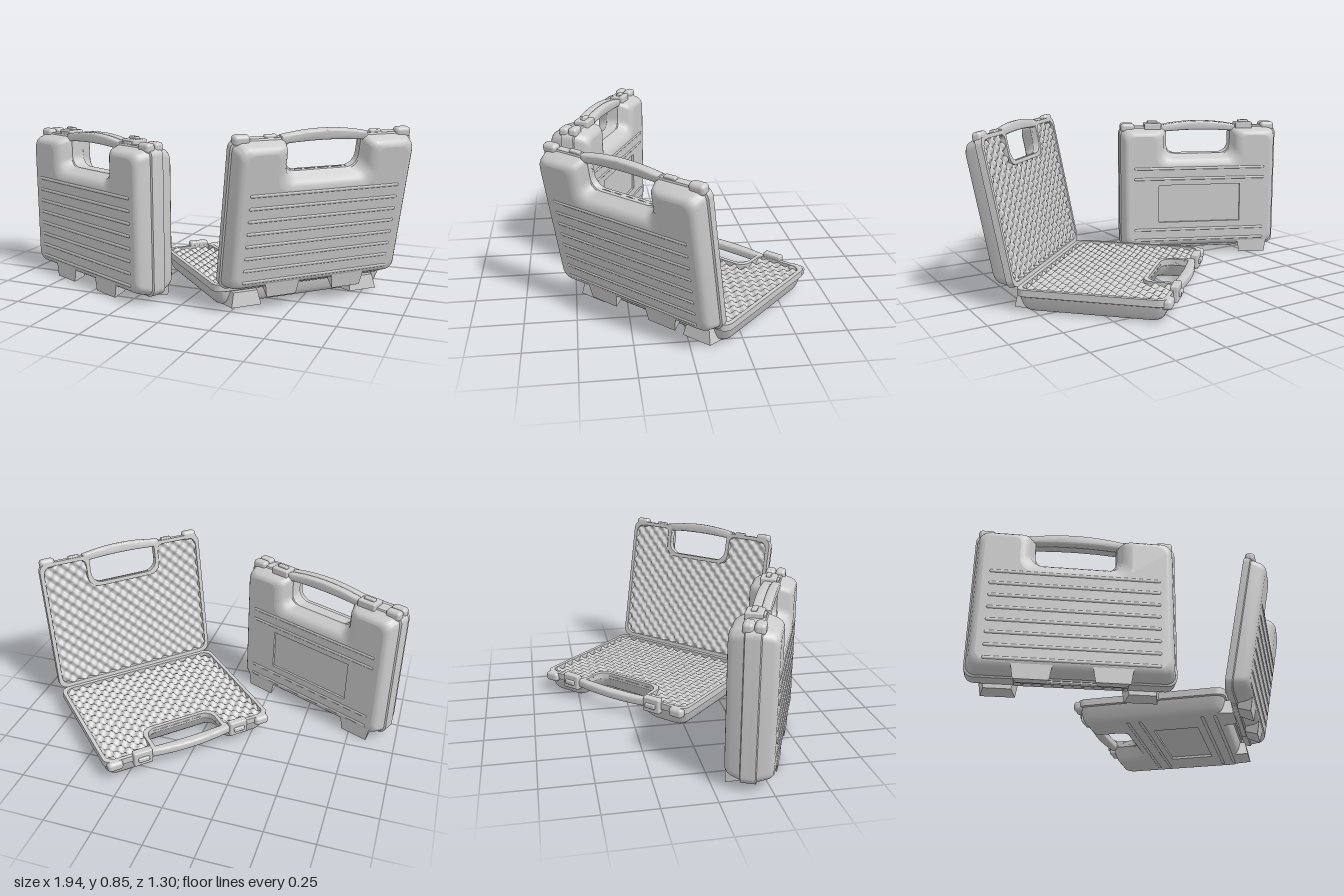
import * as THREE from 'three';
import { toCreasedNormals } from 'three/addons/utils/BufferGeometryUtils.js';
import { RoundedBoxGeometry } from 'three/addons/geometries/RoundedBoxGeometry.js';

const grey = new THREE.MeshStandardMaterial({ color: 0xcccccc, side: THREE.DoubleSide });
const W = 0.465, H = 0.72, DEPTH = 0.11;

function add(parent, name, geometry, x = 0, y = 0, z = 0) {
  const mesh = new THREE.Mesh(geometry, grey);
  mesh.name = name;
  mesh.position.set(x, y, z);
  parent.add(mesh);
  return mesh;
}

// Rounded case outline with a handle notch; inset and notch widen separately
function outline(inset, notch) {
  const R = 0.045, r = 0.03, q = 0.06, P = Math.PI / 2;
  const x = W - inset - R, lo = inset + R, hi = H - inset;
  const nx = 0.19 + notch, ny = 0.56 - notch;
  const arcs = [
    [x, lo, R, -P, 0], [x, hi - R, R, 0, P],
    [nx + r, hi - r, r, P, 2 * P], [nx - q, ny + q, q, 0, -P],
    [q - nx, ny + q, q, -P, -2 * P], [-nx - r, hi - r, r, 0, P],
    [-x, hi - R, R, P, 2 * P], [-x, lo, R, 2 * P, 3 * P],
  ];
  const pts = [];
  for (const [cx, cy, rad, a, b] of arcs)
    for (let k = 0; k <= 8; k++) {
      const t = a + (b - a) * k / 8;
      pts.push(new THREE.Vector2(cx + rad * Math.cos(t), cy + rad * Math.sin(t)));
    }
  return pts;
}

// Skin through closed loops given as { pts, z }
function loft(rings) {
  const pos = [], idx = [], n = rings[0].pts.length;
  for (const { pts, z } of rings) for (const p of pts) pos.push(p.x, p.y, z);
  for (let k = 0; k < rings.length - 1; k++)
    for (let i = 0; i < n; i++) {
      const a = k * n + i, b = k * n + (i + 1) % n;
      idx.push(a, b, b + n, a, b + n, a + n);
    }
  const g = new THREE.BufferGeometry();
  g.setAttribute('position', new THREE.Float32BufferAttribute(pos, 3));
  g.setIndex(idx);
  return toCreasedNormals(g, 0.6);
}

// Egg-crate foam: a grid pushed in and out by crossed sines, open at the handle
function foamGeometry() {
  const g = new THREE.PlaneGeometry(0.89, 0.68, 108, 84);
  g.translate(0, 0.36, 0);
  const p = g.attributes.position, k = Math.PI / 0.033, idx = [];
  for (let i = 0; i < p.count; i++)
    p.setZ(i, 0.017 + 0.014 * Math.sin(k * p.getX(i)) * Math.sin(k * p.getY(i)));
  const src = g.index.array;
  for (let i = 0; i < src.length; i += 3) {
    const t = [src[i], src[i + 1], src[i + 2]];
    const cx = (p.getX(t[0]) + p.getX(t[1]) + p.getX(t[2])) / 3;
    const cy = (p.getY(t[0]) + p.getY(t[1]) + p.getY(t[2])) / 3;
    if (Math.abs(cx) < 0.19 && cy > 0.56) continue;
    idx.push(t[0], t[2], t[1]); // faces the inside of the case
  }
  g.setIndex(idx);
  g.computeVertexNormals();
  return g;
}

function handleGeometry() {
  const s = new THREE.Shape();
  s.moveTo(-0.215, 0.697);
  s.quadraticCurveTo(0, 0.717, 0.215, 0.697);
  s.lineTo(0.215, 0.72);
  s.quadraticCurveTo(0, 0.762, -0.215, 0.72);
  s.closePath();
  const g = new THREE.ExtrudeGeometry(s, {
    depth: 0.018, bevelThickness: 0.012, bevelSize: 0.008, bevelSegments: 3, curveSegments: 16,
  });
  g.translate(0, 0, 0.012);
  return toCreasedNormals(g, 0.7);
}

// Foot narrowing away from the case and toward the parting plane
function footGeometry() {
  const g = new THREE.BoxGeometry(0.18, 0.08, 0.07);
  const p = g.attributes.position;
  for (let i = 0; i < p.count; i++) {
    if (p.getY(i) < 0) p.setX(i, p.getX(i) * 0.85);
    if (p.getZ(i) < 0) {
      p.setX(i, p.getX(i) * 0.8);
      if (p.getY(i) < 0) p.setY(i, p.getY(i) + 0.012);
    }
  }
  const flat = g.toNonIndexed();
  flat.computeVertexNormals();
  return flat;
}

// One half: hinge edge at y = 0, parting plane at z = 0, outer face toward +z
function caseHalf(name, isBack, withFoam) {
  const half = new THREE.Group();
  half.name = name;

  const profile = [ // outer inset, notch inset, z
    [0.02, 0.02, 0.03], [0.02, 0.02, 0], [0, 0, 0], [0, 0, 0.033], [0.008, 0.005, 0.037],
    [0.02, 0.02, 0.083], [0.027, 0.032, 0.097], [0.037, 0.048, 0.107], [0.05, 0.065, DEPTH],
  ];
  add(half, 'shell', loft(profile.map(([i, n, z]) => ({ pts: outline(i, n), z }))));

  const face = new THREE.Shape(outline(0.05, 0.065));
  if (isBack) {
    const rect = [[-0.24, 0.165], [0.24, 0.165], [0.24, 0.385], [-0.24, 0.385]]
      .map(([x, y]) => new THREE.Vector2(x, y));
    face.holes.push(new THREE.Path(rect));
    add(half, 'panelWalls', loft([{ pts: rect, z: DEPTH }, { pts: rect, z: DEPTH - 0.012 }]));
    add(half, 'recessedPanel', new THREE.PlaneGeometry(0.48, 0.22), 0, 0.275, DEPTH - 0.012);
  }
  add(half, 'outerFace', new THREE.ShapeGeometry(face), 0, 0, DEPTH);

  // Ribs across the outer face
  const rib = new THREE.CapsuleGeometry(0.009, 0.755, 4, 10);
  rib.rotateZ(Math.PI / 2);
  for (let i = 0; i < 8; i++) {
    if (isBack && i > 1 && i < 6) continue;
    add(half, 'rib', rib, 0, 0.06 + i * 0.0605, DEPTH - 0.005);
  }

  add(half, 'handle', handleGeometry());
  const corner = new RoundedBoxGeometry(0.08, 0.05, 0.05, 3, 0.018);
  const foot = footGeometry();
  const latch = new RoundedBoxGeometry(0.1, 0.04, 0.08, 2, 0.008);
  const catchBar = new RoundedBoxGeometry(0.06, 0.02, 0.025, 2, 0.006);
  for (const s of [-1, 1]) {
    add(half, 'cornerBump', corner, s * 0.415, 0.715, 0.025);
    add(half, 'hingeFoot', foot, s * (isBack ? 0.32 : 0.175), 0.01, 0.073);
    if (isBack) {
      add(half, 'latch', latch, s * 0.27, 0.722, 0.018);
      add(half, 'latchTab', catchBar, s * 0.27, 0.744, 0.02);
    } else {
      add(half, 'latchCatch', catchBar, s * 0.27, 0.722, 0.018);
    }
  }
  // Hinge strip
  add(half, 'hingeStrip', new RoundedBoxGeometry(0.5, 0.016, 0.025, 2, 0.005), 0, 0, 0.016);

  if (withFoam) add(half, 'foam', foamGeometry());
  return half;
}

export function createModel() {
  const model = new THREE.Group();
  model.name = 'carryingCases';

  // Closed case standing on its hinge feet
  const closed = new THREE.Group();
  closed.name = 'closedCase';
  const back = caseHalf('backHalf', true, false);
  back.rotation.y = Math.PI;
  closed.add(caseHalf('frontHalf', false, false), back);
  closed.rotation.y = THREE.MathUtils.degToRad(-24);
  closed.position.set(-0.53, 0.03, 0.325);

  // Open case: back half lying flat, lid leaning away from it
  const open = new THREE.Group();
  open.name = 'openCase';
  const base = caseHalf('baseHalf', true, true);
  base.quaternion.setFromRotationMatrix(new THREE.Matrix4().makeBasis(
    new THREE.Vector3(-1, 0, 0), new THREE.Vector3(0, 0, -1), new THREE.Vector3(0, -1, 0)));
  const lid = caseHalf('lid', false, true);
  lid.rotation.x = THREE.MathUtils.degToRad(11);
  open.add(base, lid);
  open.rotation.y = Math.PI / 4;
  open.position.set(0.505, 0.114, 0.17);

  model.add(closed, open);
  return model;
}
